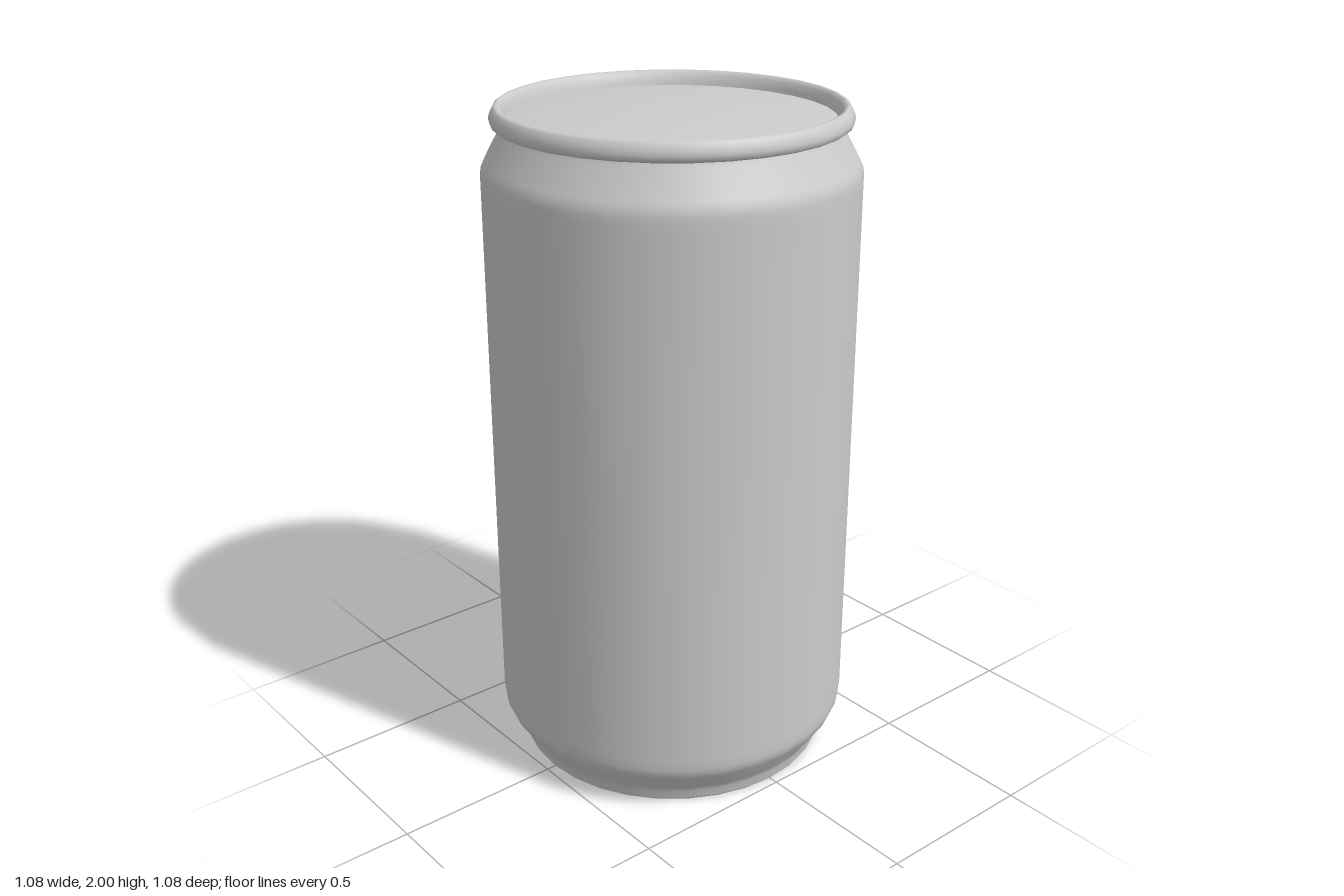
import * as THREE from 'three';

const SIDES = 32;
const material = new THREE.MeshStandardMaterial({ color: 0xcccccc });

// Spins a profile of [radius, height] points, listed so that outer faces point outward
function spin(name, profile) {
  const points = profile.map(([r, y]) => new THREE.Vector2(r, y));
  const mesh = new THREE.Mesh(new THREE.LatheGeometry(points, SIDES), material);
  mesh.name = name;
  return mesh;
}

// Dome profile from the centre out to radius r, from centre height to edge height
function dome(r, centreY, edgeY, steps = 8) {
  return Array.from({ length: steps + 1 }, (_, i) => {
    const t = i / steps;
    return [r * t, centreY + (edgeY - centreY) * t * t];
  });
}

export function createModel() {
  const can = new THREE.Group();
  can.name = 'drinkCan';

  // Wall with tapered foot and shoulder
  can.add(spin('body', [
    [0.47, 0], [0.476, 0.01], [0.476, 0.03], [0.487, 0.05],
    [0.527, 0.11], [0.536, 0.13], [0.54, 0.15], [0.54, 0.18],
    [0.54, 1.78], [0.54, 1.81], [0.537, 1.83], [0.528, 1.85],
    [0.484, 1.93], [0.478, 1.95],
  ]));

  // Hollow underside with a thin standing ring
  can.add(spin('base', [...dome(0.45, 0.12, 0.02), [0.458, 0.004], [0.47, 0]]));

  // Rolled rim
  can.add(spin('rim', [
    [0.475, 1.945], [0.5, 1.945], [0.508, 1.951], [0.511, 1.965],
    [0.507, 1.98], [0.5, 1.994], [0.492, 2], [0.484, 1.998],
    [0.476, 1.988], [0.469, 1.97], [0.465, 1.95],
  ]));

  // Slightly domed lid, set just below the rim
  can.add(spin('lid', dome(0.47, 1.985, 1.957).reverse()));

  return can;
}
